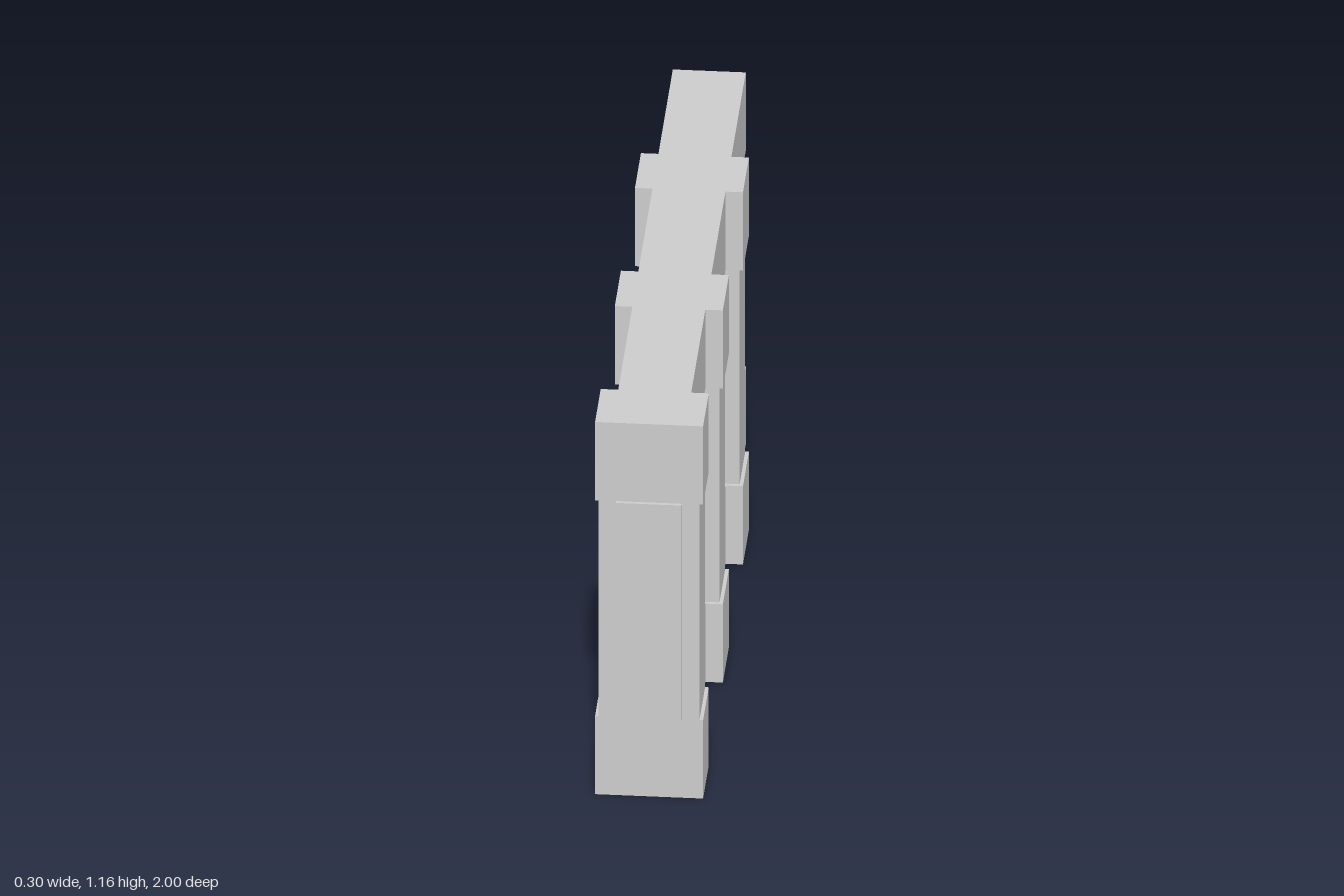
import * as THREE from 'three';

// Closed floor plan of the wall as [x, z]; d insets the sides and pushes out the ends
function plan(d) {
  const wall = 0.1 - d, pier = 0.148 - d;
  const half = [[0.09, 0.99 + d], [0.09, 0.99], [pier, 0.99], [pier, 0.805 + d], [wall, 0.805 + d]];
  for (const [front, back] of [[0.34, 0.142], [-0.322, -0.517]]) {
    half.push([wall, front - d], [pier, front - d], [pier, back + d], [wall, back + d]);
  }
  half.push([wall, -0.99 - d]);
  return [...half, ...half.map(([x, z]) => [-x, z]).reverse()];
}

// Band of quads joining two plans at two heights
function strip(lower, y0, upper, y1) {
  const pos = [];
  lower.forEach((a, i) => {
    const j = (i + 1) % lower.length;
    const b = lower[j], c = upper[j], e = upper[i];
    const A = [a[0], y0, a[1]], B = [b[0], y0, b[1]];
    const C = [c[0], y1, c[1]], E = [e[0], y1, e[1]];
    pos.push(...A, ...B, ...C, ...A, ...C, ...E);
    // The plan runs front to back along +x, so the order is flipped below
  });
  for (let i = 0; i < pos.length; i += 9) {
    for (let k = 0; k < 3; k++) [pos[i + 3 + k], pos[i + 6 + k]] = [pos[i + 6 + k], pos[i + 3 + k]];
  }
  const geo = new THREE.BufferGeometry();
  geo.setAttribute('position', new THREE.Float32BufferAttribute(pos, 3));
  geo.computeVertexNormals();
  return geo;
}

export function createModel() {
  const group = new THREE.Group();
  const grey = new THREE.MeshStandardMaterial({ color: 0xcccccc, side: THREE.DoubleSide });
  grey.name = 'wallGrey';
  const add = (name, geo) => {
    const mesh = new THREE.Mesh(geo, grey);
    mesh.name = name;
    group.add(mesh);
  };

  const outer = plan(0), inner = plan(0.01);
  const low = 0.245, high = 0.92, top = 1.165;

  // Hollow wall, open underneath: plinth, recessed middle and top band
  add('baseBand', strip(outer, 0, outer, low));
  add('lowerLedge', strip(outer, low, inner, low));
  add('middleWalls', strip(inner, low, inner, high));
  add('upperLedge', strip(inner, high, outer, high));
  add('topBand', strip(outer, high, outer, top));

  // Flat top
  const shape = new THREE.Shape(outer.filter((p, i) => i !== 0 && i !== outer.length - 1)
    .map(([x, z]) => new THREE.Vector2(x, -z)));
  const cap = new THREE.ShapeGeometry(shape);
  cap.rotateX(-Math.PI / 2);
  cap.translate(0, top, 0);
  add('topCap', cap);

  return group;
}
